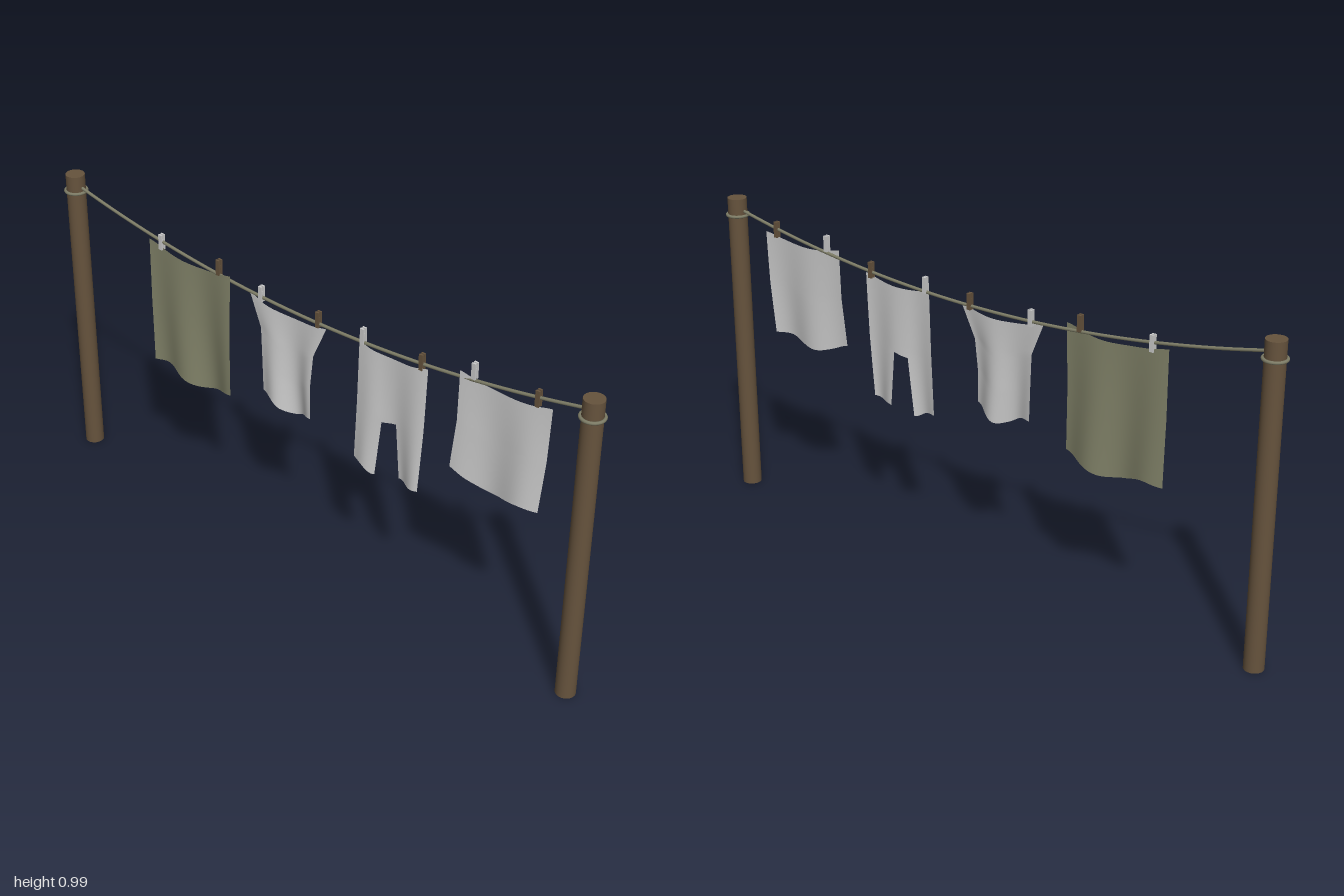
import * as THREE from 'three';

const mat = (color, side = THREE.FrontSide) => new THREE.MeshStandardMaterial({ color, side });

function add(parent, name, geometry, material, x = 0, y = 0, z = 0) {
  const mesh = new THREE.Mesh(geometry, material);
  mesh.name = name;
  mesh.position.set(x, y, z);
  parent.add(mesh);
  return mesh;
}

// value of an evenly spaced list at t, straight or smooth
function along(list, t) {
  const f = t * (list.length - 1), i = Math.min(Math.floor(f), list.length - 2);
  return THREE.MathUtils.lerp(list[i], list[i + 1], f - i);
}
function smooth(list, t) {
  const n = list.length - 1;
  return new THREE.SplineCurve(list.map((y, i) => new THREE.Vector2(i / n, y))).getPoint(t).y;
}

// height of the sagging rope
const ropeY = x => 0.84 + 0.105 * (x / 0.935) ** 2;

// hanging cloth: side edges run downward, top and bottom edges run across;
// an optional gap (two inner edges) splits the lower part into legs
const COLS = 24, ROWS = 24, GAP_A = 10, GAP_B = 14, GAP_ROW = 13;
function clothGeometry({ left, right, top, bottom, gap, waves, phase, depth }) {
  const pos = [], index = [];
  for (let r = 0; r <= ROWS; r++) {
    const v = r / ROWS, xl = along(left, v), xr = along(right, v);
    for (let c = 0; c <= COLS; c++) {
      const u = c / COLS;
      let x = xl + (xr - xl) * u;
      if (gap) {
        const a = along(gap[0], v), b = along(gap[1], v);
        if (c <= GAP_A) x = xl + (a - xl) * c / GAP_A;
        else if (c <= GAP_B) x = a + (b - a) * (c - GAP_A) / (GAP_B - GAP_A);
        else x = b + (xr - b) * (c - GAP_B) / (COLS - GAP_B);
      }
      const y = THREE.MathUtils.lerp(smooth(top, u), smooth(bottom, u), v);
      const fold = Math.cos(Math.PI * 2 * waves * (u - 1) + phase + 0.5 * (1 - v));
      const z = depth * (0.25 + 0.75 * v) * (0.4 + 0.6 * fold * (0.55 + 0.45 * u));
      pos.push(x, y, z);
    }
  }
  for (let r = 0; r < ROWS; r++) {
    for (let c = 0; c < COLS; c++) {
      if (gap && r >= GAP_ROW && c >= GAP_A && c < GAP_B) continue;
      const a = r * (COLS + 1) + c, b = a + COLS + 1;
      index.push(a, b, a + 1, b, b + 1, a + 1);
    }
  }
  const g = new THREE.BufferGeometry();
  g.setAttribute('position', new THREE.Float32BufferAttribute(pos, 3));
  g.setIndex(index);
  g.computeVertexNormals();
  return g;
}

export function createModel() {
  const group = new THREE.Group();
  group.name = 'clothesline';
  const wood = mat(0x66533d), cord = mat(0x7d7c66), grey = mat(0xcccccc);
  const white = mat(0xcccccc, THREE.DoubleSide), olive = mat(0x83846a, THREE.DoubleSide);

  // posts with rope loops tied around them
  for (const s of [-1, 1]) {
    const side = s > 0 ? 'left' : 'right';
    add(group, side + 'Post', new THREE.CylinderGeometry(0.03, 0.03, 0.985, 24), wood, s * 0.962, 0.4925);
    const loop = add(group, side + 'RopeLoop', new THREE.TorusGeometry(0.033, 0.005, 8, 32), cord, s * 0.962, 0.93);
    loop.rotation.x = Math.PI / 2;
  }

  // sagging rope
  const points = [];
  for (let i = 0; i <= 16; i++) {
    const x = -0.94 + 1.88 * i / 16;
    points.push(new THREE.Vector3(x, ropeY(x), 0));
  }
  add(group, 'rope', new THREE.TubeGeometry(new THREE.CatmullRomCurve3(points), 64, 0.005, 8), cord);

  // laundry
  add(group, 'towel', clothGeometry({
    left: [-0.642, -0.641, -0.635], right: [-0.302, -0.301, -0.293],
    top: [0.873, 0.859, 0.85, 0.847, 0.854, 0.869],
    bottom: [0.452, 0.458, 0.438, 0.43, 0.447, 0.468],
    waves: 1.7, phase: 0, depth: 0.028,
  }), olive);
  add(group, 'shirt', clothGeometry({
    left: [-0.227, -0.184, -0.18, -0.177], right: [0.072, 0.03, 0.025, 0.032],
    top: [0.847, 0.829, 0.822, 0.82, 0.825, 0.838],
    bottom: [0.53, 0.524, 0.501, 0.493, 0.513, 0.528],
    waves: 1.4, phase: 0, depth: 0.032,
  }), white);
  add(group, 'trousers', clothGeometry({
    left: [0.19, 0.186, 0.178], right: [0.435, 0.433, 0.425],
    gap: [[0.28, 0.28, 0.26], [0.325, 0.325, 0.341]],
    top: [0.847, 0.838, 0.834, 0.834, 0.84, 0.853],
    bottom: [0.45, 0.444, 0.425, 0.444, 0.443, 0.447],
    waves: 1.5, phase: 0.8, depth: 0.024,
  }), white);
  add(group, 'smallTowel', clothGeometry({
    left: [0.543, 0.545, 0.532], right: [0.842, 0.838, 0.826],
    top: [0.897, 0.885, 0.879, 0.88, 0.887, 0.899],
    bottom: [0.585, 0.562, 0.547, 0.553, 0.565, 0.563],
    waves: 1.3, phase: 1.6, depth: 0.024,
  }), white);

  // clothespins: two prongs joined by a small spring, alternating grey and wood
  const pins = [[-0.59, 0.88], [-0.352, 0.88], [-0.183, 0.855], [0.036, 0.854],
    [0.202, 0.866], [0.411, 0.867], [0.588, 0.912], [0.795, 0.914]];
  pins.forEach(([x, y], i) => {
    const pin = new THREE.Group();
    pin.name = 'clothespin' + (i + 1);
    pin.position.set(x, y, 0);
    const material = i % 2 ? wood : grey;
    for (const s of [-1, 1]) {
      add(pin, 'prong', new THREE.BoxGeometry(0.013, 0.05, 0.006), material, 0, 0, s * 0.005);
    }
    add(pin, 'spring', new THREE.BoxGeometry(0.01, 0.008, 0.006), material, 0, 0.004, 0);
    group.add(pin);
  });

  return group;
}
